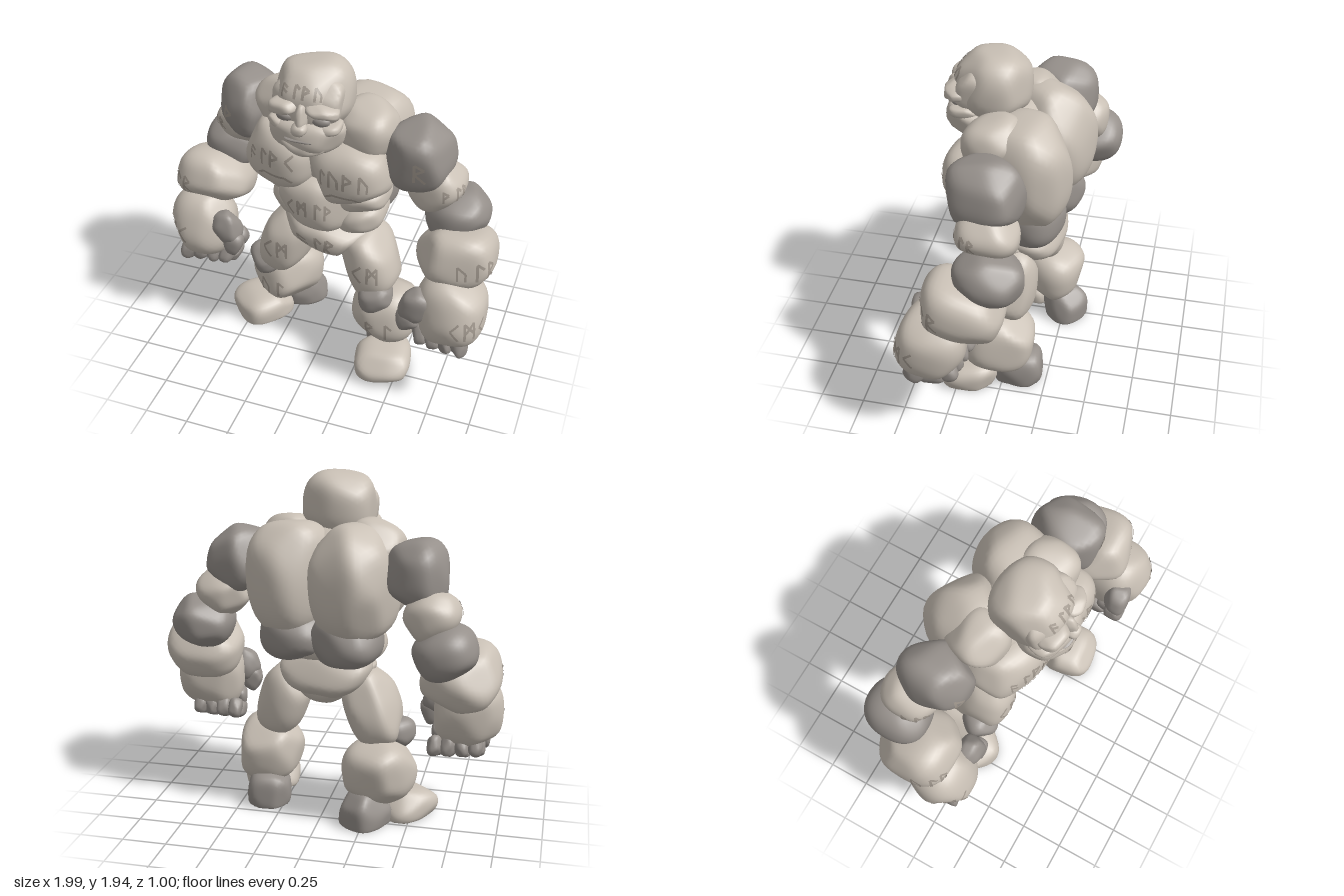
import * as THREE from 'three';
import { mergeVertices } from 'three/addons/utils/BufferGeometryUtils.js';

const mat = (name, color, side = THREE.FrontSide) => {
  const m = new THREE.MeshStandardMaterial({ color, side });
  m.name = name;
  return m;
};

// Strokes of each carved sign, as x1, y1, x2, y2 in a unit cell
const SIGNS = [
  [[0.1, 0, 0.1, 1], [0.1, 1, 0.7, 0.7], [0.1, 0.65, 0.7, 0.35]],
  [[0.1, 0, 0.1, 1], [0.1, 1, 0.7, 0.5], [0.7, 0.5, 0.7, 0]],
  [[0.1, 0, 0.1, 1], [0.1, 0.9, 0.6, 0.65], [0.6, 0.65, 0.1, 0.4]],
  [[0.4, 0, 0.4, 1], [0.4, 1, 0.8, 0.7]],
  [[0.1, 0, 0.1, 1], [0.1, 1, 0.6, 0.75], [0.6, 0.75, 0.1, 0.5], [0.1, 0.5, 0.7, 0]],
  [[0.7, 1, 0.1, 0.55], [0.1, 0.55, 0.7, 0]],
  [[0.1, 0, 0.1, 1], [0.7, 0, 0.7, 1], [0.1, 1, 0.7, 0.4], [0.7, 1, 0.1, 0.4]],
];

export function createModel() {
  const light = mat('light stone', 0xc9c0b5);
  const dark = mat('dark stone', 0x96908b);
  const carving = mat('carved groove', 0xa39a90, THREE.DoubleSide);

  let seed = 7;
  const rnd = () => (seed = (seed * 16807) % 2147483647) / 2147483647;

  const model = new THREE.Group();
  model.name = 'stoneGolem';
  const groupOf = (name) => {
    const g = new THREE.Group();
    g.name = name;
    model.add(g);
    return g;
  };

  // Chiselled boulder: a rounded block softly cut by a few seeded planes; taper widens it upwards
  function rock(parent, name, c, s, rot = [0, 0, 0], m = light, n = 2.7, detail = 8, taper = 0) {
    const cuts = Array.from({ length: 13 }, () => {
      const z = rnd() * 2 - 1, a = rnd() * Math.PI * 2, q = Math.sqrt(1 - z * z);
      return new THREE.Vector3(q * Math.cos(a), z, q * Math.sin(a)).divideScalar(0.92 + 0.12 * rnd());
    });
    const gauge = (e) => {
      const r = (Math.abs(e.x) ** n + Math.abs(e.y) ** n + Math.abs(e.z) ** n) ** (1 / n);
      let sum = r ** 22;
      for (const k of cuts) sum += Math.max(0, k.dot(e)) ** 22;
      return sum ** (1 / 22);
    };
    let geo = new THREE.IcosahedronGeometry(1, detail);
    geo.deleteAttribute('uv');
    geo.deleteAttribute('normal');
    geo = mergeVertices(geo);
    const p = geo.attributes.position, v = new THREE.Vector3();
    for (let i = 0; i < p.count; i++) {
      v.fromBufferAttribute(p, i);
      v.divideScalar(gauge(v));
      p.setXYZ(i, v.x, v.y, v.z);
    }
    geo.computeBoundingBox();
    const size = geo.boundingBox.getSize(new THREE.Vector3());
    const scale = new THREE.Vector3(...s).multiplyScalar(2).divide(size);
    const center = new THREE.Vector3(...c);
    const q = new THREE.Quaternion().setFromEuler(new THREE.Euler(...rot.map((d) => d * Math.PI / 180)));
    geo.applyMatrix4(new THREE.Matrix4().compose(new THREE.Vector3(), q, scale));
    // Widen, move into place and flatten against the ground
    const place = (w) => {
      w.x *= 1 + taper * w.y / s[1];
      w.add(center);
      w.y = Math.max(0, w.y);
      return w;
    };
    for (let i = 0; i < p.count; i++) {
      place(v.fromBufferAttribute(p, i));
      p.setXYZ(i, v.x, v.y, v.z);
    }
    geo.computeVertexNormals();
    const mesh = new THREE.Mesh(geo, m);
    mesh.name = name;
    parent.add(mesh);
    // Point on the untapered surface in a given direction from the centre
    const inv = q.clone().invert();
    const surface = (dir) => {
      const e = dir.clone().applyQuaternion(inv).divide(scale);
      return dir.clone().divideScalar(gauge(e));
    };
    return { parent, name, place, surface };
  }

  // Thin ribbons laid over a boulder
  function carve(r, dir, lines, width = 0.015) {
    const d = new THREE.Vector3(...dir).normalize();
    const right = new THREE.Vector3(0, 1, 0).cross(d).normalize();
    const up = d.clone().cross(right);
    const base = r.surface(d);
    const at = (u, v) => {
      const t = base.clone().addScaledVector(right, u).addScaledVector(up, v).normalize();
      return r.place(r.surface(t).addScaledVector(t, 0.004));
    };
    const pos = [], idx = [];
    for (const [x1, y1, x2, y2] of lines) {
      const len = Math.hypot(x2 - x1, y2 - y1);
      const nx = -(y2 - y1) / len * width / 2, ny = (x2 - x1) / len * width / 2;
      for (let i = 0; i <= 5; i++) {
        const x = x1 + (x2 - x1) * i / 5, y = y1 + (y2 - y1) * i / 5, k = pos.length / 3;
        pos.push(...at(x - nx, y - ny).toArray(), ...at(x + nx, y + ny).toArray());
        if (i < 5) idx.push(k, k + 2, k + 1, k + 1, k + 2, k + 3);
      }
    }
    const geo = new THREE.BufferGeometry();
    geo.setAttribute('position', new THREE.Float32BufferAttribute(pos, 3));
    geo.setIndex(idx);
    geo.computeVertexNormals();
    const mesh = new THREE.Mesh(geo, carving);
    mesh.name = r.name + 'Carving';
    r.parent.add(mesh);
  }
  const signs = (r, dir, list, h = 0.085, y = 0) => carve(r, dir, list.flatMap((k, i) => {
    const w = h * 0.85, x0 = (i - list.length / 2) * w;
    return SIGNS[k].map(([a, b, c, e]) => [x0 + a * w, y + (b - 0.5) * h, x0 + c * w, y + (e - 0.5) * h]);
  }));

  // Torso, twisted so its left side comes forward
  const torso = groupOf('torso');
  rock(torso, 'core', [0, 1.4, 0], [0.33, 0.24, 0.2], [0, -20, 0]);
  rock(torso, 'waist', [0.01, 1.03, -0.03], [0.31, 0.14, 0.22], [0, -8, 0]);
  const belly = rock(torso, 'belly', [-0.03, 1.05, 0.1], [0.22, 0.17, 0.15], [0, -6, 0], light, 3, 8, 0.1);
  signs(belly, [0, 0.05, 1], [5, 6, 3, 2], 0.095);
  for (const s of [1, -1]) {
    rock(torso, 'upperRib', [s * 0.22 + 0.01, 1.13, 0.01 + s * 0.04], [0.14, 0.085, 0.18], [0, 0, s * 8]);
    rock(torso, 'lowerRib', [s * 0.2 + 0.01, 0.99, 0.01 + s * 0.03], [0.14, 0.09, 0.18], [0, 0, s * 12]);
    const pec = rock(torso, 'chestPlate', [s * 0.21 - 0.025, 1.32, 0.12 + s * 0.045], [0.22, 0.185, 0.18],
      [0, -14 + s * 8, s * 6], light, 2.7);
    signs(pec, [s * 0.05 - 0.05, 0.12, 1], s > 0 ? [3, 1, 2, 1] : [0, 3, 2, 5], 0.1, 0.015);
    carve(pec, [0, 0.05, 1], [[-0.12, -0.11, -0.06, -0.07], [-0.06, -0.07, 0.07, -0.07], [0.07, -0.07, 0.12, -0.11]]);
    rock(torso, 'backPlate', [s * 0.19 + 0.015, 1.375, -0.125 + s * 0.035], [0.225, 0.32, 0.245], [0, -20, s * 4], light, 2.7);
    rock(torso, 'trapezius', [s * 0.25 - 0.01, 1.55, 0.01 + s * 0.06], [0.16, 0.15, 0.16], [0, -18, -s * 15]);
    rock(torso, 'lowerBackPlate', [s * 0.15 + 0.015, 1.06, -0.14 + s * 0.03], [0.19, 0.16, 0.185], [0, -15, s * 8], dark, 2.7);
  }

  // Pelvis: a wedge narrowing downwards, with a rounded seat behind
  const pelvis = groupOf('pelvis');
  const wedge = rock(pelvis, 'hipWedge', [0, 0.79, -0.01], [0.23, 0.14, 0.215], [0, -5, 0], light, 3, 8, 0.5);
  signs(wedge, [-0.03, 0, 1], [0, 3, 4], 0.095);
  rock(pelvis, 'seat', [0, 0.83, -0.1], [0.25, 0.14, 0.18], [0, -8, 0], light, 2.7, 8, 0.2);

  // Head and face
  const head = groupOf('head'), hx = -0.035;
  const skull = rock(head, 'skull', [hx, 1.74, 0.13], [0.2, 0.2, 0.205], [0, 0, 0], light, 2.6);
  signs(skull, [0, 0.5, 1], [0, 3, 2, 1], 0.075);
  rock(head, 'facePlate', [hx, 1.74, 0.22], [0.19, 0.14, 0.1], [-4, 0, 0], light, 3.4);
  rock(head, 'jaw', [hx, 1.56, 0.215], [0.195, 0.1, 0.165], [-14, 0, 0], light, 2.9, 8, 0.1);
  rock(head, 'chin', [hx, 1.525, 0.285], [0.13, 0.065, 0.09]);
  rock(head, 'mouth', [hx, 1.582, 0.355], [0.09, 0.009, 0.03], [0, 0, 0], dark, 2.6, 4);
  rock(head, 'noseBridge', [hx, 1.7, 0.335], [0.032, 0.075, 0.05], [-12, 0, 0], light, 3, 4);
  rock(head, 'noseTip', [hx, 1.65, 0.36], [0.042, 0.035, 0.045], [0, 0, 0], light, 3, 4);
  for (const s of [1, -1]) {
    rock(head, 'brow', [hx + s * 0.105, 1.742, 0.31], [0.088, 0.038, 0.06], [0, s * 12, -s * 5], light, 3.2, 5);
    rock(head, 'eye', [hx + s * 0.095, 1.683, 0.305], [0.05, 0.03, 0.033], [0, 0, 0], dark, 2.2, 4);
    rock(head, 'cheek', [hx + s * 0.125, 1.632, 0.265], [0.075, 0.035, 0.08], [0, 0, s * 12], light, 2.7, 5);
  }

  // Arms: positions are shoulder, upper arm, elbow, forearm, hand
  const arms = [
    ['leftArm', 1, [[0.525, 1.44, 0.05], [0.62, 1.255, 0.02], [0.74, 1.07, -0.01], [0.775, 0.89, 0.125], [0.8, 0.635, 0.285]]],
    ['rightArm', -1, [[-0.52, 1.44, -0.16], [-0.61, 1.25, -0.26], [-0.69, 1.065, -0.31], [-0.765, 0.885, -0.16], [-0.8, 0.63, -0.02]]],
  ];
  for (const [name, s, [sh, up, el, fo, ha]] of arms) {
    const g = groupOf(name);
    const shoulder = rock(g, 'shoulder', sh, [0.165, 0.185, 0.2], [0, -10, s * 14], dark, 3);
    signs(shoulder, [s * 0.3, -0.1, 1], [s > 0 ? 4 : 2], 0.12);
    const upper = rock(g, 'upperArm', up, [0.15, 0.13, 0.165], [0, 0, s * 36]);
    signs(upper, [s * 0.9, 0.1, 0.7], [2, 3, 4], 0.08);
    rock(g, 'elbow', el, [0.175, 0.145, 0.19], [0, 0, s * 18], dark, 2.4);
    const fore = rock(g, 'forearm', fo, [0.22, 0.165, 0.23], [-20, 0, s * 4], light, 2.9);
    signs(fore, [s * 0.75, 0.12, 0.8], [1, 3, 4], 0.11);
    const hand = rock(g, 'hand', ha, [0.195, 0.21, 0.19], [-20, 0, 0], light, 2.6);
    signs(hand, [s * 0.75, 0, 0.8], [5, 6, 5], 0.11);
    // Four fingers curled under the palm, three segments each
    for (let i = 0; i < 4; i++) {
      const x = ha[0] + s * (0.075 - i * 0.076), z = ha[2] + 0.015 - i * 0.012;
      rock(g, 'knuckle', [x, ha[1] - 0.165, z + 0.065], [0.046, 0.085, 0.065], [-25, 0, s * 10], dark, 3.4, 4);
      rock(g, 'fingerMiddle', [x - s * 0.015, ha[1] - 0.215, z - 0.01], [0.043, 0.05, 0.08], [10, 0, 0], dark, 3.4, 4);
      rock(g, 'fingerTip', [x - s * 0.02, ha[1] - 0.175, z - 0.095], [0.04, 0.06, 0.055], [25, 0, 0], dark, 3.4, 4);
    }
    rock(g, 'thumbBase', [ha[0] - s * 0.18, ha[1] + 0.045, ha[2] + 0.09], [0.08, 0.1, 0.075], [0, 0, -s * 20], dark, 3.2, 5);
    rock(g, 'thumbTip', [ha[0] - s * 0.22, ha[1] - 0.05, ha[2] + 0.1], [0.06, 0.075, 0.06], [0, 0, s * 20], dark, 3.2, 5);
  }

  // Legs: positions are thigh, knee, shin, heel, toes, then foot yaw
  const legs = [
    ['leftLeg', 1, [[0.265, 0.64, 0.02], [0.33, 0.465, 0.14], [0.36, 0.3, 0.03], [0.345, 0.05, -0.09], [0.405, 0.045, 0.2]], 10],
    ['rightLeg', -1, [[-0.265, 0.63, -0.05], [-0.395, 0.465, 0.0], [-0.325, 0.29, -0.15], [-0.26, 0.05, -0.25], [-0.455, 0.045, -0.05]], -42],
  ];
  for (const [name, s, [th, kn, sh, he, to], yaw] of legs) {
    const g = groupOf(name);
    const thigh = rock(g, 'thigh', th, [0.15, 0.23, 0.19], [0, 0, s * 20]);
    signs(thigh, [s * 0.1, 0.05, 1], [5, 6], 0.11);
    rock(g, 'knee', kn, [0.1, 0.09, 0.1], [0, yaw, s * 6], dark, 2.8, 6);
    const shin = rock(g, 'shin', sh, [0.19, 0.185, 0.205], [-8, yaw * 0.6, s * 6], light, 2.8);
    signs(shin, [s * 0.1, -0.1, 1], s > 0 ? [4, 3] : [1, 3], 0.11);
    rock(g, 'heel', he, [0.125, 0.15, 0.14], [0, yaw, 0], dark, 3);
    rock(g, 'toes', to, [0.165, 0.11, 0.17], [6, yaw, 0], light, 3);
  }
  return model;
}
